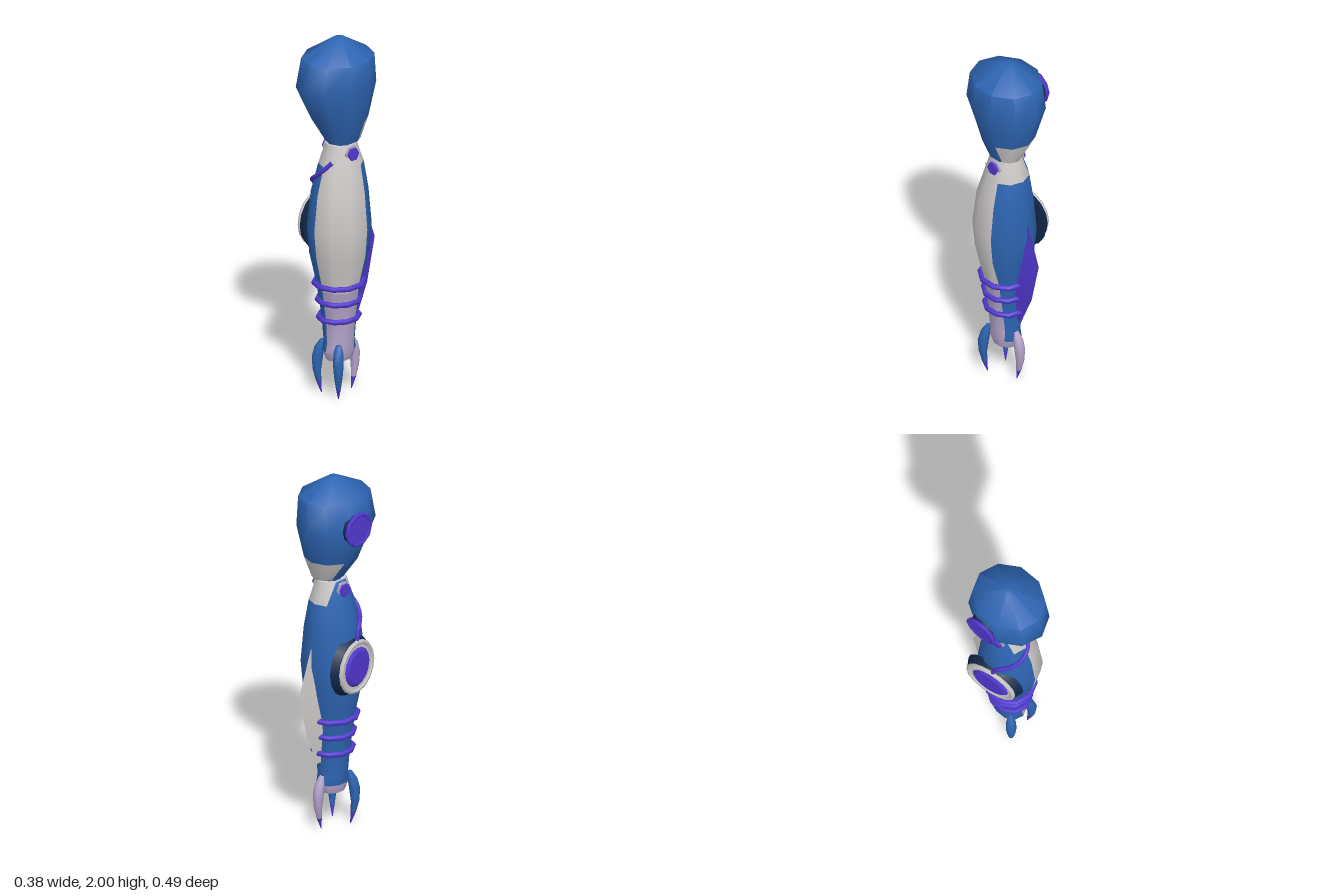
import * as THREE from 'three';
import { mergeGeometries, toCreasedNormals } from 'three/addons/utils/BufferGeometryUtils.js';

const paint = (name, color) => {
  const m = new THREE.MeshStandardMaterial({ color });
  m.name = name;
  return m;
};

// Loft through elliptical rings [y, cx, cz, rx, rz], listed bottom to top, ends closed.
function loft(rings, sides, crease = 0.9) {
  const first = rings[0], last = rings[rings.length - 1];
  const all = [[...first.slice(0, 3), 0, 0], ...rings, [...last.slice(0, 3), 0, 0]];
  const pos = [], index = [];
  for (const [y, cx, cz, rx, rz] of all) {
    for (let j = 0; j < sides; j++) {
      const a = (j / sides) * Math.PI * 2;
      pos.push(cx + rx * Math.sin(a), y, cz + rz * Math.cos(a));
    }
  }
  for (let i = 0; i < all.length - 1; i++) {
    for (let j = 0; j < sides; j++) {
      const k = (j + 1) % sides, a = i * sides, b = a + sides;
      if (i > 0) index.push(a + j, a + k, b + k);
      if (i < all.length - 2) index.push(a + j, b + k, b + j);
    }
  }
  const g = new THREE.BufferGeometry();
  g.setAttribute('position', new THREE.Float32BufferAttribute(pos, 3));
  g.setIndex(index);
  return toCreasedNormals(g, crease);
}

// Cut a non-indexed geometry along an axis plane: returns [below, above].
function cut(geo, axis, value) {
  const ax = 'xyz'.indexOf(axis);
  const p = geo.attributes.position.array, n = geo.attributes.normal.array;
  return [-1, 1].map((sign) => {
    const P = [], N = [];
    for (let t = 0; t < p.length; t += 9) {
      const tri = [0, 3, 6].map((o) => [...p.slice(t + o, t + o + 3), ...n.slice(t + o, t + o + 3)]);
      const poly = [];
      tri.forEach((a, i) => {
        const b = tri[(i + 1) % 3];
        const da = sign * (a[ax] - value), db = sign * (b[ax] - value);
        if (da >= 0) poly.push(a);
        if (da * db < 0) poly.push(a.map((v, q) => v + ((b[q] - v) * da) / (da - db)));
      });
      for (let i = 1; i + 1 < poly.length; i++) {
        for (const v of [poly[0], poly[i], poly[i + 1]]) {
          P.push(...v.slice(0, 3));
          N.push(...v.slice(3));
        }
      }
    }
    const g = new THREE.BufferGeometry();
    g.setAttribute('position', new THREE.Float32BufferAttribute(P, 3));
    g.setAttribute('normal', new THREE.Float32BufferAttribute(N, 3));
    return g;
  });
}

export function createModel() {
  const root = new THREE.Group();
  root.name = 'mechanicalArm';
  const blue = paint('blue', 0x2e65b3), white = paint('lightGrey', 0xcdc9c9);
  const lavender = paint('lavender', 0xb5a5cc), purple = paint('purple', 0x5238d0);
  const navy = paint('navy', 0x12294a);

  const add = (name, geo, mat, parent = root) => {
    const m = new THREE.Mesh(geo, mat);
    m.name = name;
    parent.add(m);
  };

  // Shoulder pod with a light patch low on the back
  const pod = loft([
    [1.43, 0.04, -0.005, 0.078, 0.1], [1.55, 0.02, 0, 0.142, 0.155],
    [1.74, 0.01, 0.018, 0.186, 0.228], [1.9, 0.017, 0.012, 0.176, 0.203],
    [2.0, 0.012, 0, 0.025, 0.028],
  ], 10, 1.0);
  const [podLow, podHigh] = cut(pod, 'y', 1.55);
  const [podBack, podFront] = cut(podLow, 'z', -0.05);
  add('shoulder', mergeGeometries([podHigh, podFront]), blue);
  add('shoulderBackPatch', podBack, white);
  add('shoulderJoint', new THREE.CylinderGeometry(0.06, 0.06, 0.06, 10).translate(0.033, 1.42, 0), blue);

  // Forearm, cut into its colour areas
  const arm = loft([
    [0.2, 0.025, 0.01, 0.06, 0.075], [0.25, 0.025, 0.01, 0.076, 0.095],
    [0.3, 0.025, 0.01, 0.075, 0.085], [0.43, 0.025, 0.01, 0.09, 0.092],
    [0.63, 0.025, 0.012, 0.115, 0.12], [0.8, 0.028, 0.012, 0.152, 0.16],
    [0.95, 0.028, 0.012, 0.163, 0.175], [1.15, 0.027, 0.008, 0.145, 0.155],
    [1.3, 0.025, -0.003, 0.115, 0.122], [1.415, 0.028, 0, 0.078, 0.085],
  ], 10);
  const [wrist, aboveWrist] = cut(arm, 'y', 0.25);
  const [middle, collar] = cut(aboveWrist, 'y', 1.3);
  const [collarBlue, collarWhite] = cut(collar, 'x', -0.04);
  const [outer, inner] = cut(middle, 'x', 0.024);
  const [innerBack, innerFront] = cut(inner, 'z', -0.045);
  const [innerLow, innerHigh] = cut(innerFront, 'y', 0.6);
  add('forearmShell', mergeGeometries([collarBlue, outer, innerBack]), blue);
  add('forearmPanel', mergeGeometries([collarWhite, innerHigh]), white);
  add('wrist', mergeGeometries([wrist, innerLow]), lavender);
  add('palm', new THREE.CylinderGeometry(0.045, 0.045, 0.008, 10).translate(0.025, 0.198, 0.01), blue);

  // Wrist bands
  for (const [y, rx, rz] of [[0.63, 0.125, 0.131], [0.535, 0.109, 0.115], [0.437, 0.101, 0.111]]) {
    const band = new THREE.TorusGeometry(1, 0.13, 8, 10).rotateX(Math.PI / 2).rotateY(Math.PI / 10);
    add('wristBand', band.scale(rx, 0.115, rz).translate(0.025, y, 0.012), purple);
  }

  // Hexagonal pivot bolts on both sides of the neck
  for (const s of [-1, 1]) {
    const hex = (r, h, off) => new THREE.CylinderGeometry(r, r, h, 6)
      .rotateZ(Math.PI / 2).translate(0.025 + s * off, 1.37, 0);
    add('boltPlate', hex(0.045, 0.03, 0.075), lavender);
    add('bolt', hex(0.036, 0.05, 0.08), purple);
  }

  // Round discs on the outer side, each facing -x
  const disc = (group, name, r, rIn, depth, x, mat, sides) => {
    const g = new THREE.CylinderGeometry(rIn, r, depth, sides);
    add(name, g.rotateZ(Math.PI / 2).translate(x, 0, 0), mat, group);
  };
  const rim = (group, name, r, tube, x, mat, sides) =>
    add(name, new THREE.TorusGeometry(r, tube, 6, sides).rotateY(Math.PI / 2).translate(x, 0, 0), mat, group);

  const podDisc = new THREE.Group();
  podDisc.name = 'shoulderDisc';
  podDisc.position.set(-0.175, 1.755, -0.01);
  disc(podDisc, 'mount', 0.085, 0.08, 0.03, 0.015, navy, 10);
  disc(podDisc, 'face', 0.085, 0.075, 0.016, -0.002, purple, 10);
  rim(podDisc, 'rim', 0.085, 0.012, -0.003, purple, 10);
  root.add(podDisc);

  const armDisc = new THREE.Group();
  armDisc.name = 'forearmDisc';
  armDisc.position.set(-0.122, 0.945, 0.018);
  armDisc.rotation.y = 0.14;
  disc(armDisc, 'mount', 0.17, 0.15, 0.04, 0.015, navy, 16);
  disc(armDisc, 'plate', 0.145, 0.14, 0.02, -0.008, white, 16);
  rim(armDisc, 'rim', 0.136, 0.014, -0.013, white, 16);
  disc(armDisc, 'lens', 0.115, 0.09, 0.016, -0.022, purple, 16);
  root.add(armDisc);

  // Hose running across the front to the disc
  const hose = new THREE.CatmullRomCurve3([
    [0.07, 1.335, 0.1], [0.03, 1.285, 0.128], [-0.03, 1.235, 0.132],
    [-0.085, 1.195, 0.1], [-0.122, 1.155, 0.05], [-0.13, 1.08, 0.025],
  ].map((p) => new THREE.Vector3(...p)));
  add('hose', new THREE.TubeGeometry(hose, 20, 0.012, 6), purple);

  // Back fin: two bevelled halves meeting at a thin edge, rooted inside the forearm
  const edge = [[1.07, -0.15], [0.81, -0.243], [0.57, -0.19], [0.38, -0.11]];
  const base = [[1.05, -0.09], [0.81, -0.12], [0.57, -0.08], [0.38, -0.06]];
  for (const [s, name, mat] of [[1, 'finLeftHalf', purple], [-1, 'finRightHalf', white]]) {
    const pos = [], index = [];
    edge.forEach(([y, z], i) => {
      const thick = i === 0 || i === 3 ? 0 : 0.028;
      pos.push(0.025, y, z, 0.025 + s * thick, ...base[i]);
      if (i < 3) {
        const a = 2 * i;
        const q = [a, a + 1, a + 3, a, a + 3, a + 2];
        index.push(...(s > 0 ? q : q.reverse()));
      }
    });
    const g = new THREE.BufferGeometry();
    g.setAttribute('position', new THREE.Float32BufferAttribute(pos, 3));
    g.setIndex(index);
    g.computeVertexNormals();
    add(name, g, mat);
  }

  // Three curved claws with purple tips
  const claw = loft([
    [0, 0, 0.09, 0.002, 0.002], [0.065, 0, 0.105, 0.013, 0.014],
    [0.13, 0, 0.114, 0.022, 0.022], [0.2, 0, 0.112, 0.028, 0.029],
    [0.26, 0, 0.1, 0.026, 0.026], [0.3, 0, 0.085, 0.013, 0.014],
  ], 8);
  const [tip, body] = cut(claw, 'y', 0.065);
  for (const [angle, mat] of [[0.8, blue], [-0.8, blue], [Math.PI, lavender]]) {
    const finger = new THREE.Group();
    finger.name = 'claw';
    finger.position.set(0.025, 0, 0.012);
    finger.rotation.y = angle;
    add('clawBody', body, mat, finger);
    add('clawTip', tip, purple, finger);
    root.add(finger);
  }
  return root;
}
